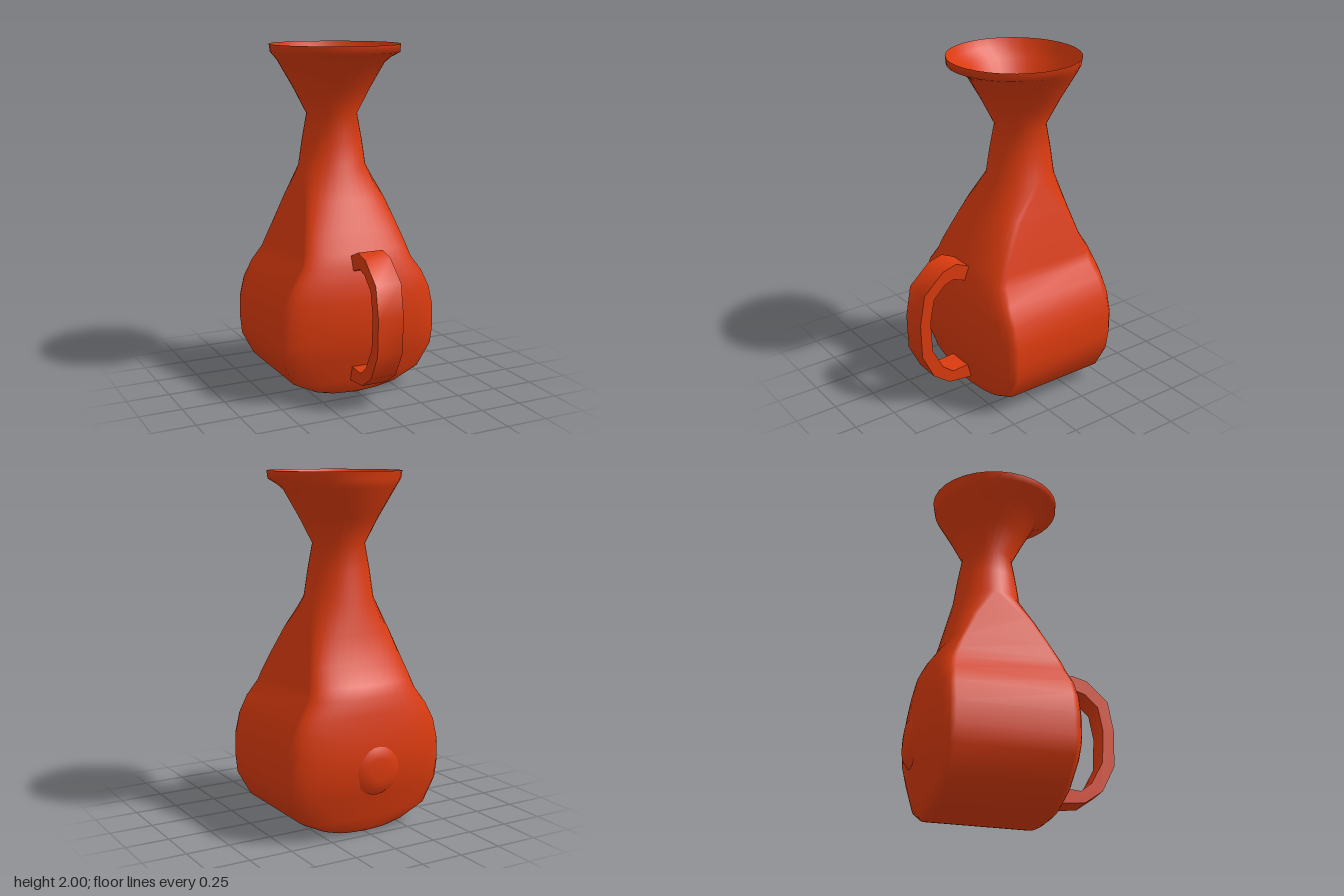
import * as THREE from 'three';
import { mergeVertices, toCreasedNormals } from 'three/addons/utils/BufferGeometryUtils.js';

const material = new THREE.MeshStandardMaterial({ color: 0xd93a0e, side: THREE.DoubleSide });

// Level: [y, half width, front z, side front z, side back z, back z].
// Each section has flat sides joined by elliptical front and back arcs.
function section([y, hx, zf, sf, sb, zb], n = 16) {
  const ring = [];
  for (let i = 0; i <= n; i++) {
    const t = Math.PI * i / n;
    ring.push([hx * Math.cos(t), y, sf + (zf - sf) * Math.sin(t)]);
  }
  for (let i = 0; i <= n; i++) {
    const t = Math.PI * i / n;
    ring.push([-hx * Math.cos(t), y, sb + (zb - sb) * Math.sin(t)]);
  }
  return ring;
}

function loft(levels) {
  const rings = levels.map((l) => section(l));
  const n = rings[0].length, index = [];
  for (let i = 0; i < rings.length - 1; i++) {
    for (let j = 0; j < n; j++) {
      const a = i * n + j, b = i * n + (j + 1) % n;
      index.push(a, a + n, b, b, a + n, b + n);
    }
  }
  const raw = new THREE.BufferGeometry();
  raw.setAttribute('position', new THREE.Float32BufferAttribute(rings.flat(2), 3));
  raw.setIndex(index);
  const geometry = mergeVertices(raw, 1e-4);
  geometry.computeVertexNormals();
  return geometry;
}

// Round level of radius r centred at z
const round = (y, r, z) => [y, r, z + r, z, z, z - r];

export function createModel() {
  const group = new THREE.Group();
  const add = (name, geometry) => {
    const mesh = new THREE.Mesh(geometry, material);
    mesh.name = name;
    group.add(mesh);
    return mesh;
  };

  // Rounded base, drum-like belly, tapering shoulders, neck and flared mouth
  add('body', loft([
    [0, 0, 0.18, 0.17, -0.42, -0.43],
    [0.015, 0.17, 0.205, 0.17, -0.42, -0.46],
    [0.04, 0.26, 0.235, 0.18, -0.42, -0.485],
    [0.11, 0.4, 0.26, 0.19, -0.43, -0.51],
    [0.25, 0.475, 0.3, 0.21, -0.43, -0.55],
    [0.35, 0.485, 0.33, 0.21, -0.43, -0.58],
    [0.48, 0.483, 0.335, 0.21, -0.43, -0.585],
    [0.6, 0.455, 0.333, 0.21, -0.43, -0.57],
    [0.7, 0.405, 0.315, 0.21, -0.42, -0.555],
    [0.79, 0.342, 0.29, 0.19, -0.4, -0.535],
    [0.85, 0.325, 0.265, 0.17, -0.38, -0.505],
    [0.95, 0.297, 0.215, 0.12, -0.34, -0.435],
    [1.12, 0.25, 0.135, 0.02, -0.26, -0.39],
    round(1.3, 0.197, -0.147),
    round(1.45, 0.175, -0.147),
    round(1.6, 0.148, -0.147),
    round(1.75, 0.225, -0.147),
    round(1.91, 0.317, -0.147),
    round(1.955, 0.372, -0.098),
    round(2, 0.378, -0.1),
  ]));

  // Inside of the mouth, closed at the neck
  add('funnel', loft([
    round(2, 0.378, -0.1),
    round(1.95, 0.355, -0.11),
    round(1.89, 0.3, -0.143),
    round(1.75, 0.22, -0.147),
    round(1.605, 0.147, -0.147),
  ]));
  const floor = add('funnelFloor', new THREE.CircleGeometry(0.149, 32));
  floor.rotation.x = -Math.PI / 2;
  floor.position.set(0, 1.605, -0.147);

  // Low boss on the back of the belly
  const boss = add('backBoss', new THREE.LatheGeometry(
    [[0.15, -0.02], [0.11, 0.012], [0.06, 0.018], [0, 0.02]].map((p) => new THREE.Vector2(...p)), 24));
  boss.rotation.x = -Math.PI / 2;
  boss.position.set(0, 0.4, -0.579);

  // Faceted loop handle: outer outline, then inner outline back up
  const outline = [
    [0.22, 0.82], [0.28, 0.85], [0.35, 0.88], [0.44, 0.855], [0.565, 0.74], [0.597, 0.56], [0.59, 0.35],
    [0.515, 0.2], [0.41, 0.125], [0.27, 0.11], [0.22, 0.11],
    [0.22, 0.2], [0.3, 0.197], [0.385, 0.19], [0.45, 0.24], [0.52, 0.37], [0.53, 0.56], [0.503, 0.7],
    [0.43, 0.77], [0.37, 0.79], [0.29, 0.76], [0.22, 0.74],
  ];
  const shape = new THREE.Shape(outline.map((p) => new THREE.Vector2(...p)));
  const handle = new THREE.ExtrudeGeometry(shape, { depth: 0.155, bevelEnabled: false });
  handle.rotateY(-Math.PI / 2).translate(0.0775, 0, 0);
  add('handle', toCreasedNormals(handle, 0.9));

  return group;
}
